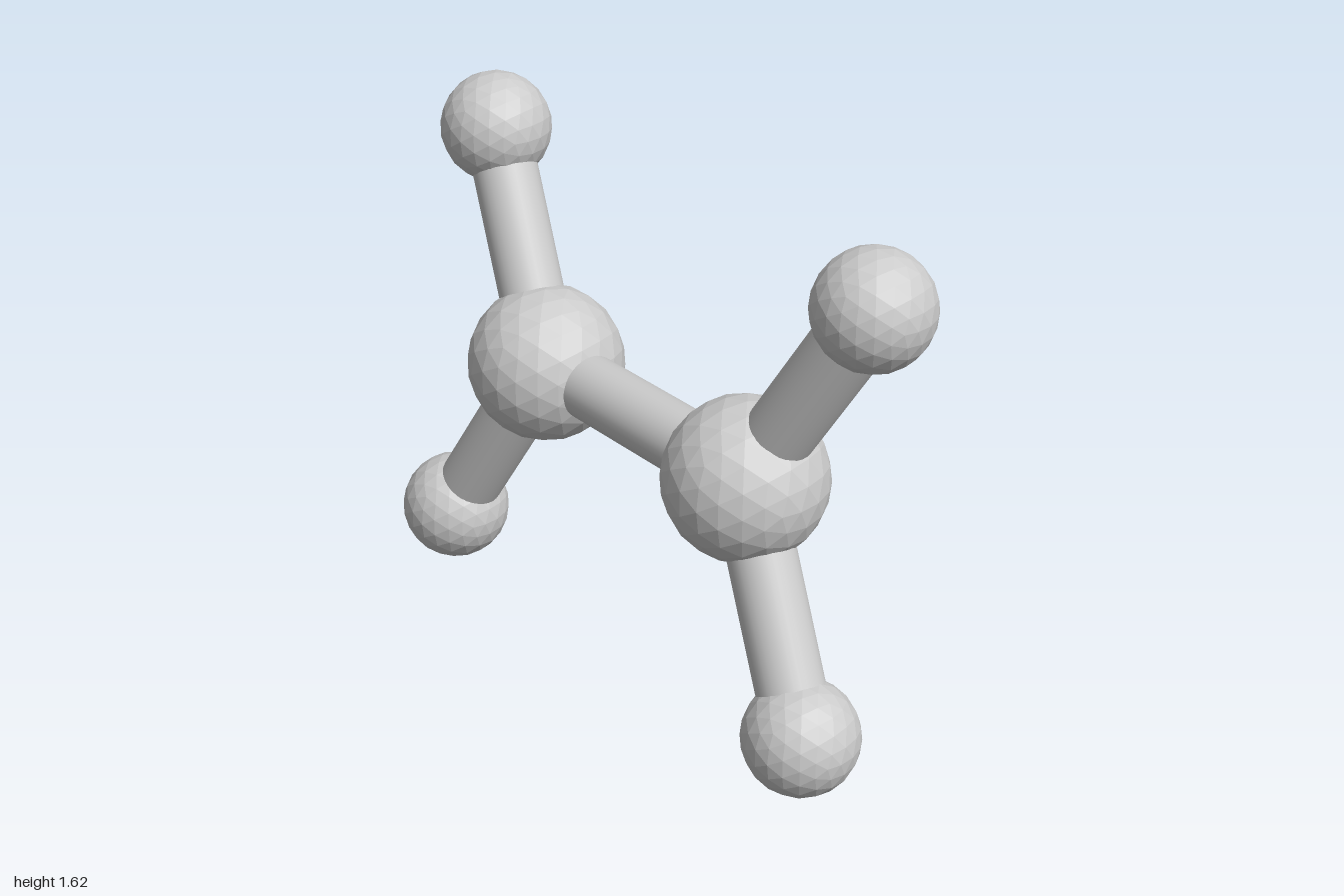
import * as THREE from 'three';

const MID_Y = 0.813; // height of the point-symmetry centre

export function createModel() {
  const model = new THREE.Group();
  model.name = 'ballAndStickModel';
  const facetedMat = new THREE.MeshStandardMaterial({ color: 0xcccccc, flatShading: true });
  const smoothMat = new THREE.MeshStandardMaterial({ color: 0xcccccc });

  // Faceted ball
  function ball(name, radius, position) {
    const mesh = new THREE.Mesh(new THREE.IcosahedronGeometry(radius, 3), facetedMat);
    mesh.name = name;
    mesh.position.copy(position);
    model.add(mesh);
  }

  // Round rod between two ball centres
  function rod(name, a, b) {
    const dir = b.clone().sub(a);
    const mesh = new THREE.Mesh(new THREE.CylinderGeometry(0.1, 0.1, dir.length(), 32), smoothMat);
    mesh.name = name;
    mesh.position.copy(a).add(b).multiplyScalar(0.5);
    mesh.quaternion.setFromUnitVectors(new THREE.Vector3(0, 1, 0), dir.normalize());
    model.add(mesh);
  }

  // Each half is the other one turned through the centre point
  const at = (x, y, z, s) => new THREE.Vector3(x * s, MID_Y + y * s, z * s);
  const hub = (s) => at(0.442, -0.007, 0.118, s);

  for (const [side, s] of [['left', 1], ['right', -1]]) {
    const centre = hub(s);
    const arms = [at(0.828, 0.615, 0.122, s), at(0.764, -0.638, 0.302, s)];
    ball(`${side}LargeBall`, 0.24, centre);
    arms.forEach((end, i) => {
      const level = (i === 0) === (s > 0) ? 'Upper' : 'Lower';
      ball(`${side}${level}SmallBall`, 0.17, end);
      rod(`${side}${level}Rod`, centre, end);
    });
  }

  // Rod joining the two large balls
  rod('centreRod', hub(1), hub(-1));

  return model;
}
